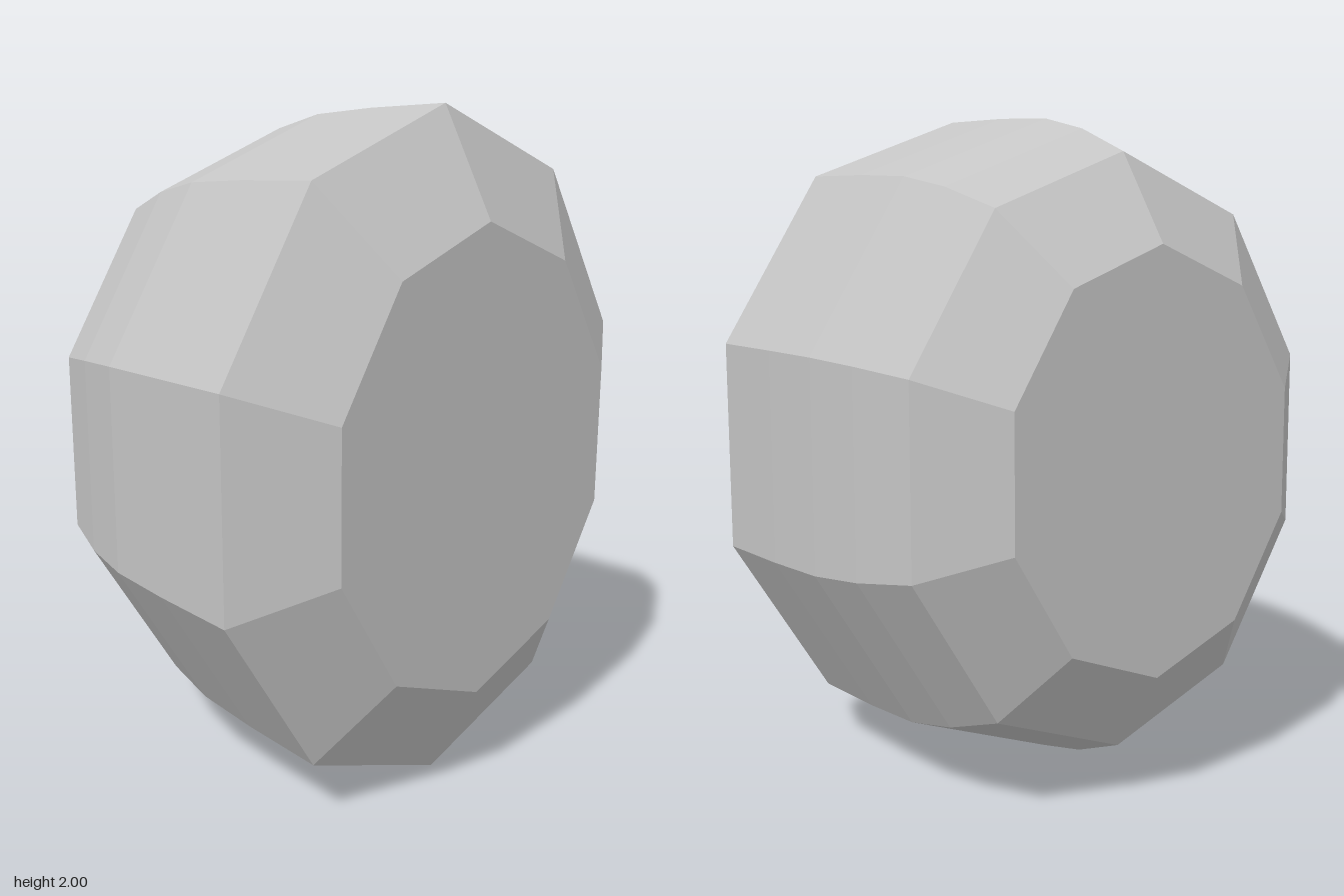
import * as THREE from 'three';

export function createModel() {
  const group = new THREE.Group();
  group.name = 'facetedBarrel';

  const grey = new THREE.MeshStandardMaterial({ color: 0xc4c4c4, flatShading: true });
  grey.name = 'grey';

  // Profile along the axis: [radius, position], from the narrow end to the chamfered end
  const profile = [
    [0, -0.615], [0.6, -0.615], [0.852, -0.446], [0.927, -0.263],
    [0.97, -0.086], [0.988, 0.142], [1, 0.426], [0.69, 0.598], [0, 0.598],
  ].map(([r, t]) => new THREE.Vector2(r, t));

  // Ten-sided body laid on its side, narrowed in depth and turned slightly
  const geometry = new THREE.LatheGeometry(profile, 10, Math.PI / 2);
  geometry.rotateZ(-Math.PI / 2);
  geometry.scale(1, 1, 0.847);
  geometry.rotateY(-0.162);
  geometry.translate(0, 1, -0.036);

  const body = new THREE.Mesh(geometry, grey);
  body.name = 'barrelBody';
  group.add(body);
  return group;
}
